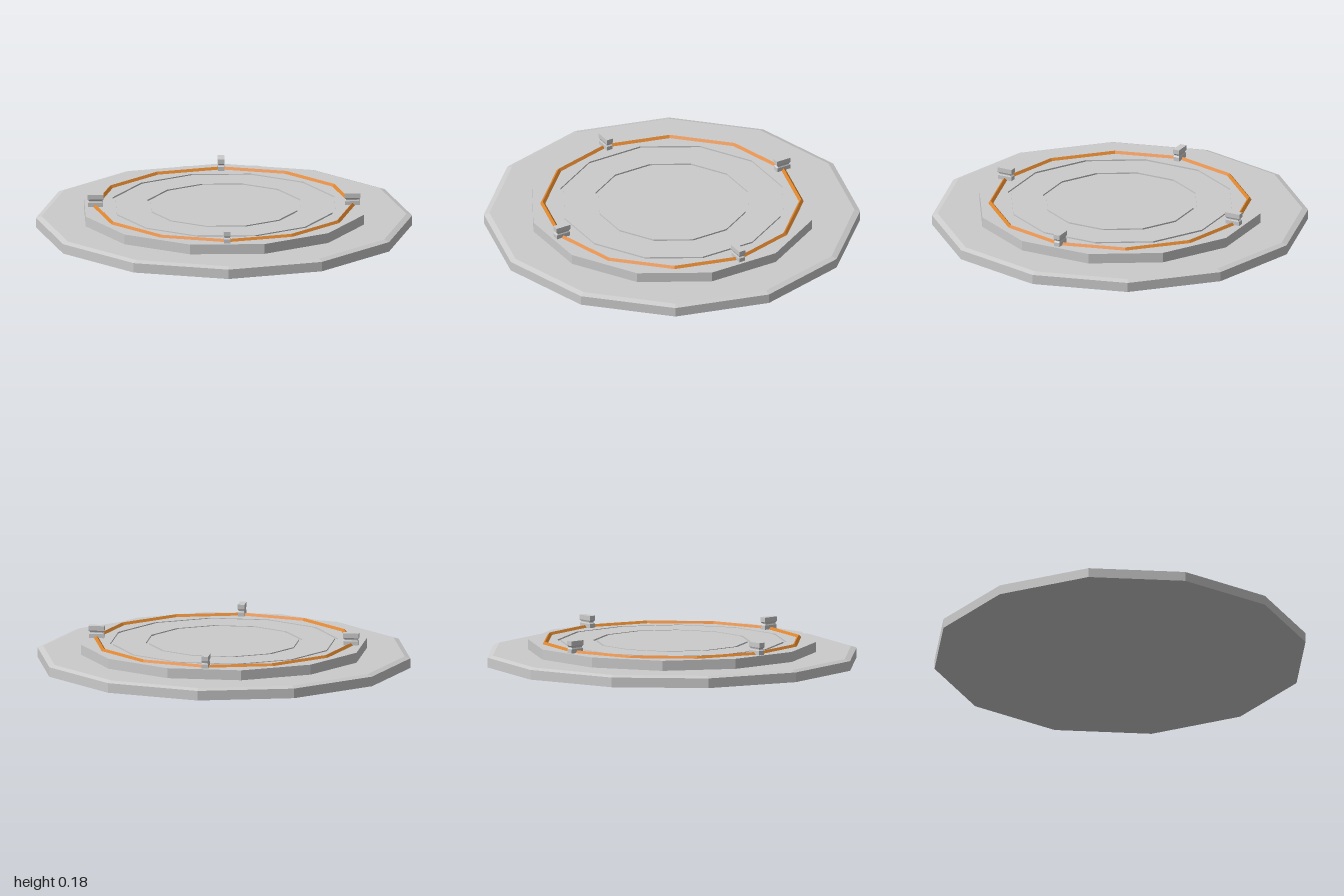
import * as THREE from 'three';

const SIDES = 12;
const grey = new THREE.MeshStandardMaterial({ color: 0xcccccc, flatShading: true });
const orange = new THREE.MeshStandardMaterial({ color: 0xd9822b, flatShading: true });

// Faceted solid of revolution; points are [radius, y] listed bottom to top
function faceted(name, points, sides, turn = 0) {
  const profile = points.map(([r, y]) => new THREE.Vector2(r, y));
  const geometry = new THREE.LatheGeometry(profile, sides).toNonIndexed();
  geometry.rotateY(turn);
  geometry.computeVertexNormals();
  const mesh = new THREE.Mesh(geometry, grey);
  mesh.name = name;
  return mesh;
}

export function createModel() {
  const model = new THREE.Group();
  model.name = 'steppedPlatform';

  // Wide base slab with a chamfered rim, corners on the axes
  model.add(faceted('baseSlab',
    [[0, 0], [1, 0], [1, 0.052], [0.97, 0.062], [0, 0.062]], SIDES));

  // Raised deck with flats on the axes and two shallow ring grooves
  const top = 0.116, floor = 0.108;
  const toCorner = 1 / Math.cos(Math.PI / SIDES);
  const deck = [[0.74, 0.06], [0.74, top]];
  for (const r of [0.59, 0.405]) {
    deck.push([r, top], [r, floor], [r - 0.017, floor], [r - 0.017, top]);
  }
  deck.push([0, top]);
  model.add(faceted('raisedDeck', deck.map(([r, y]) => [r * toCorner, y]), SIDES, Math.PI / SIDES));

  // Orange ring half sunk into the deck
  const ringGeometry = new THREE.TorusGeometry(0.687, 0.013, 4, SIDES);
  ringGeometry.rotateX(-Math.PI / 2);
  const ring = new THREE.Mesh(ringGeometry, orange);
  ring.name = 'orangeRing';
  ring.position.y = top;
  model.add(ring);

  // Four waisted blocks straddling the ring
  for (let i = 0; i < 4; i++) {
    const block = faceted('ringBlock' + (i + 1),
      [[0, 0.11], [0.95, 0.11], [0.95, 0.138], [0.8, 0.144], [0.8, 0.148], [1, 0.156], [1, 0.181], [0, 0.181]],
      4, Math.PI / 4);
    block.scale.set(0.085 / Math.SQRT2, 1, 0.036 / Math.SQRT2);
    block.position.x = 0.683;
    const arm = new THREE.Group();
    arm.name = 'blockMount' + (i + 1);
    arm.rotation.y = i * Math.PI / 2;
    arm.add(block);
    model.add(arm);
  }
  return model;
}
